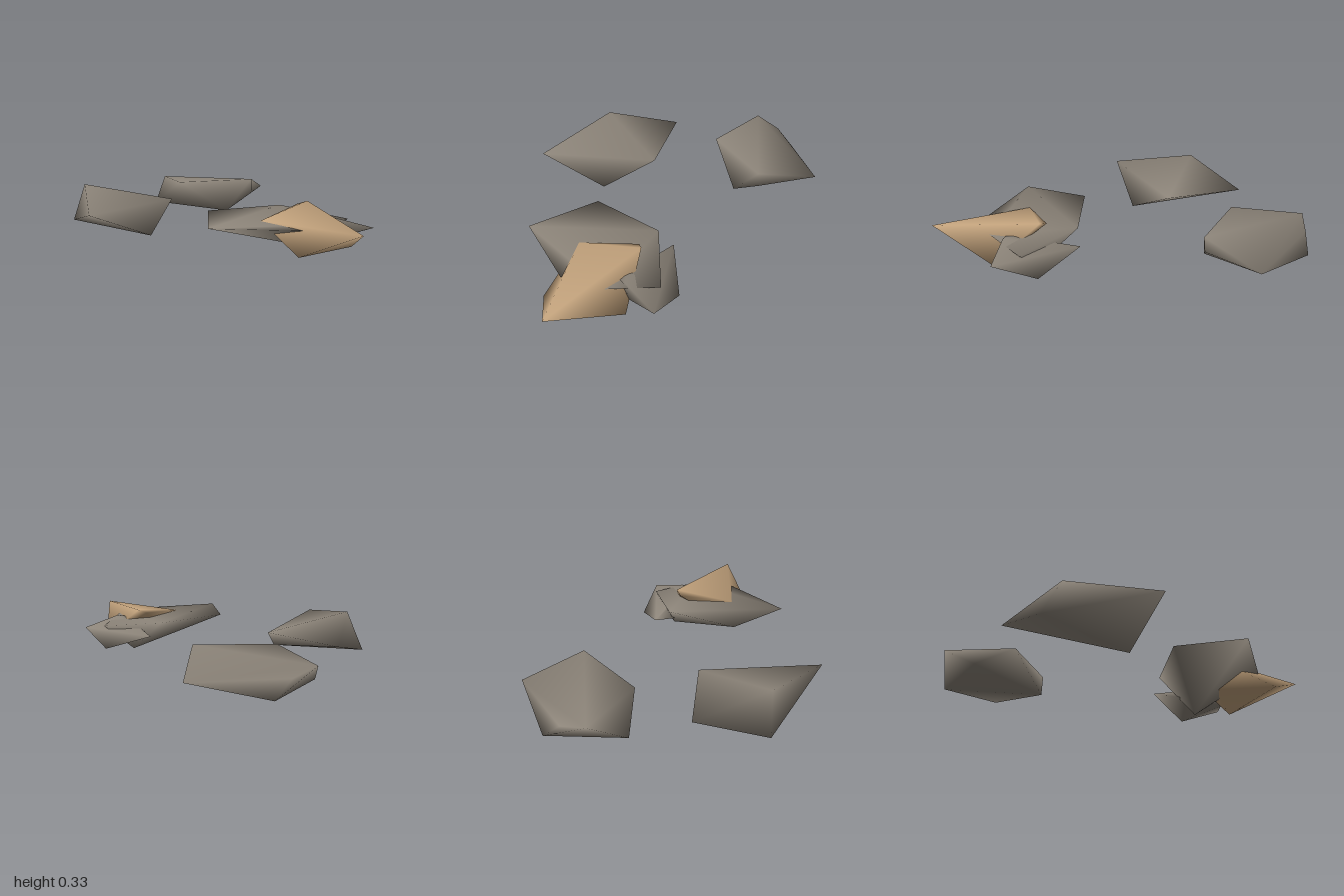
import * as THREE from 'three';
import { ConvexGeometry } from 'three/addons/geometries/ConvexGeometry.js';
import { mergeVertices } from 'three/addons/utils/BufferGeometryUtils.js';

// A faceted stone: the hull of a few corners, with normals shared across the edges.
function makeRock(name, material, corners) {
  let geometry = new ConvexGeometry(corners.map((c) => new THREE.Vector3(...c)));
  geometry.deleteAttribute('normal');
  geometry = mergeVertices(geometry, 1e-4);
  geometry.computeVertexNormals();
  const mesh = new THREE.Mesh(geometry, material);
  mesh.name = name;
  return mesh;
}

export function createModel() {
  const stone = new THREE.MeshStandardMaterial({ color: 0x8c8479 });
  stone.name = 'greyStone';
  const sand = new THREE.MeshStandardMaterial({ color: 0xc2a27c });
  sand.name = 'sandStone';

  const group = new THREE.Group();
  group.name = 'scatteredRocks';

  // Two separate rocks
  group.add(makeRock('backRock', stone, [
    [-0.43, 0.27, -0.41], [0.07, 0.29, -0.55], [-0.67, 0.26, -0.81], [-0.53, 0.215, -0.92],
    [0.065, 0.185, -0.97], [0.07, 0.19, -0.56], [-0.09, 0.07, -0.44], [-0.66, 0.1, -0.55],
    [-0.44, 0.11, -1.0],
  ]));
  group.add(makeRock('rightRock', stone, [
    [-0.88, 0.33, 0.27], [-0.81, 0.21, -0.22], [-0.35, 0.22, 0.06],
    [-0.38, 0.04, 0.42], [-0.63, 0.22, 0.8], [-0.99, 0.08, 0.21],
  ]));

  // Cluster of three overlapping rocks
  group.add(makeRock('slabRock', stone, [
    [0.015, 0.23, 0.52], [0.4, 0.23, 0.21], [0.83, 0.175, 0.3], [0.79, 0.2, 0.62],
    [0.62, 0.195, 0.85], [0.13, 0.21, 0.98], [0.63, 0, 0.36],
  ]));
  group.add(makeRock('smallRock', stone, [
    [0.46, 0.15, 0.13], [0.79, 0.04, 0.18], [0.99, 0.14, 0.38], [0.72, 0.21, 0.48],
    [0.78, 0.21, 0.5], [0.72, 0.2, 0.53], [0.8, 0.1, 0.49], [0.52, 0.09, 0.35],
  ]));
  group.add(makeRock('sandRock', sand, [
    [0.59, 0.285, 0.36], [0.53, 0.265, 0.36], [0.37, 0.215, 0.7], [0.96, 0.21, 0.995],
    [0.62, 0.07, 0.96], [0.87, 0.05, 0.52], [0.49, 0.09, 0.58],
  ]));
  return group;
}
